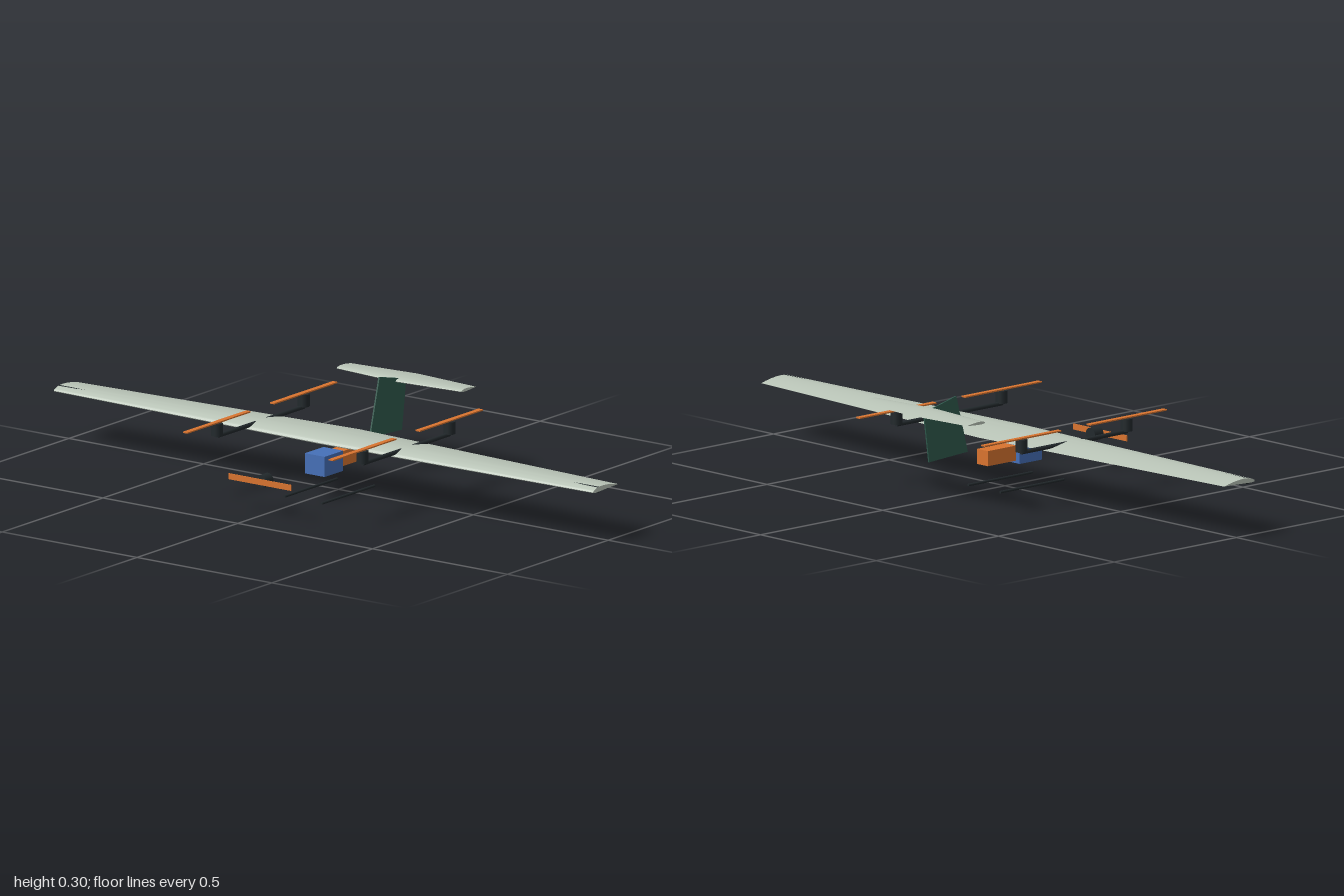
import * as THREE from 'three';
import { toCreasedNormals } from 'three/addons/utils/BufferGeometryUtils.js';

const paint = (color) => new THREE.MeshStandardMaterial({ color });
const skin = paint(0xb9c4b7), dark = paint(0x22292c), green = paint(0x2f5a4d);
const orange = paint(0xd9742f), blue = paint(0x4670b8);

function add(parent, name, geometry, material, x = 0, y = 0, z = 0) {
  const mesh = new THREE.Mesh(geometry, material);
  mesh.name = name;
  mesh.position.set(x, y, z);
  parent.add(mesh);
  return mesh;
}

const rodX = (radius, length, sides = 16) =>
  new THREE.CylinderGeometry(radius, radius, length, sides).rotateZ(Math.PI / 2);
const rodZ = (radius, length, sides = 16) =>
  new THREE.CylinderGeometry(radius, radius, length, sides).rotateX(Math.PI / 2);

// Closed cambered section, from the trailing edge over the top and back underneath
function airfoil(camber, thickness, half = 20) {
  const points = [];
  for (let i = 0; i < half * 2; i++) {
    const t = (1 + Math.cos((Math.PI * i) / half)) / 2;
    const h = 5 * thickness * (0.2969 * Math.sqrt(t) - 0.126 * t - 0.3516 * t ** 2 + 0.2843 * t ** 3 - 0.1036 * t ** 4);
    const p = 0.4;
    const c = t < p
      ? (camber / p ** 2) * (2 * p * t - t * t)
      : (camber / (1 - p) ** 2) * (1 - 2 * p + 2 * p * t - t * t);
    points.push([t, c + (i <= half ? h : -h)]);
  }
  return points;
}

// Straight-tapered surface spanning z, lofted tip - root - tip and capped
function taperedWing(halfSpan, root, tip, section) {
  const n = section.length, pos = [], index = [];
  for (const [z, [lead, trail]] of [[-halfSpan, tip], [0, root], [halfSpan, tip]]) {
    const chord = trail - lead;
    for (const [x, y] of section) pos.push(lead + x * chord, y * chord, z);
  }
  for (let j = 0; j < 2; j++) {
    for (let i = 0; i < n; i++) {
      const a = j * n + i, b = j * n + ((i + 1) % n);
      index.push(a, b, a + n, b, b + n, a + n);
    }
  }
  for (let i = 0; i < n / 2; i++) {
    const a = i, b = i + 1, c = n - i - 1, d = (n - i) % n, far = 2 * n;
    index.push(far + a, far + b, far + c, far + a, far + c, far + d);
    index.push(a, c, b, a, d, c);
  }
  const geometry = new THREE.BufferGeometry();
  geometry.setAttribute('position', new THREE.Float32BufferAttribute(pos, 3));
  geometry.setIndex(index);
  return toCreasedNormals(geometry, 0.6);
}

export function createModel() {
  const model = new THREE.Group();
  model.name = 'drone';

  // Main wing with its spar, which breaks through the thin outer skin
  add(model, 'wing', taperedWing(1, [-0.095, 0.107], [-0.075, 0.05], airfoil(0.04, 0.12)), skin, 0, 0.162);
  add(model, 'wingSpar', rodZ(0.0095, 1.998), dark, -0.047, 0.1645);

  // Tail: swept fin plate and stabilizer
  const finShape = new THREE.Shape([
    [0.154, 0.127], [0.312, 0.118], [0.333, 0.271], [0.201, 0.303],
  ].map(([x, y]) => new THREE.Vector2(x, y)));
  const finDepth = 0.005;
  add(model, 'fin', new THREE.ExtrudeGeometry(finShape, { depth: finDepth, bevelEnabled: false }), green, 0, 0, -finDepth / 2);
  add(model, 'stabilizer', taperedWing(0.231, [0.28, 0.394], [0.3, 0.374], airfoil(0.02, 0.12)), skin, 0, 0.273);

  for (const [side, s] of [['left', 1], ['right', -1]]) {
    // Lift boom with a motor and rotor at each end
    const boom = new THREE.Group();
    boom.name = side + 'LiftBoom';
    boom.position.z = s * 0.27;
    model.add(boom);
    add(boom, 'boomTube', rodX(0.0065, 0.432), dark, -0.027, 0.172);
    for (const [end, x] of [['nose', -0.2425], ['tail', 0.1885]]) {
      add(boom, end + 'LiftMotor', new THREE.CylinderGeometry(0.018, 0.018, 0.038, 20), dark, x, 0.193);
      add(boom, end + 'LiftRotor', new THREE.BoxGeometry(0.313, 0.004, 0.017), orange, x, 0.215);
    }
    // Landing skid
    add(model, side + 'Skid', rodX(0.004, 0.261, 12), dark, -0.0455, 0.004, s * 0.069);
  }

  // Nose motor and propeller
  add(model, 'noseMotor', rodX(0.02, 0.035, 20), dark, -0.367, 0.104);
  add(model, 'nosePropeller', new THREE.BoxGeometry(0.003, 0.018, 0.231), orange, -0.39, 0.104);

  // Equipment boxes under the wing
  add(model, 'avionicsBox', new THREE.BoxGeometry(0.092, 0.062, 0.073), blue, -0.072, 0.099);
  add(model, 'batteryBox', new THREE.BoxGeometry(0.116, 0.046, 0.046), orange, 0.034, 0.0995);

  return model;
}
